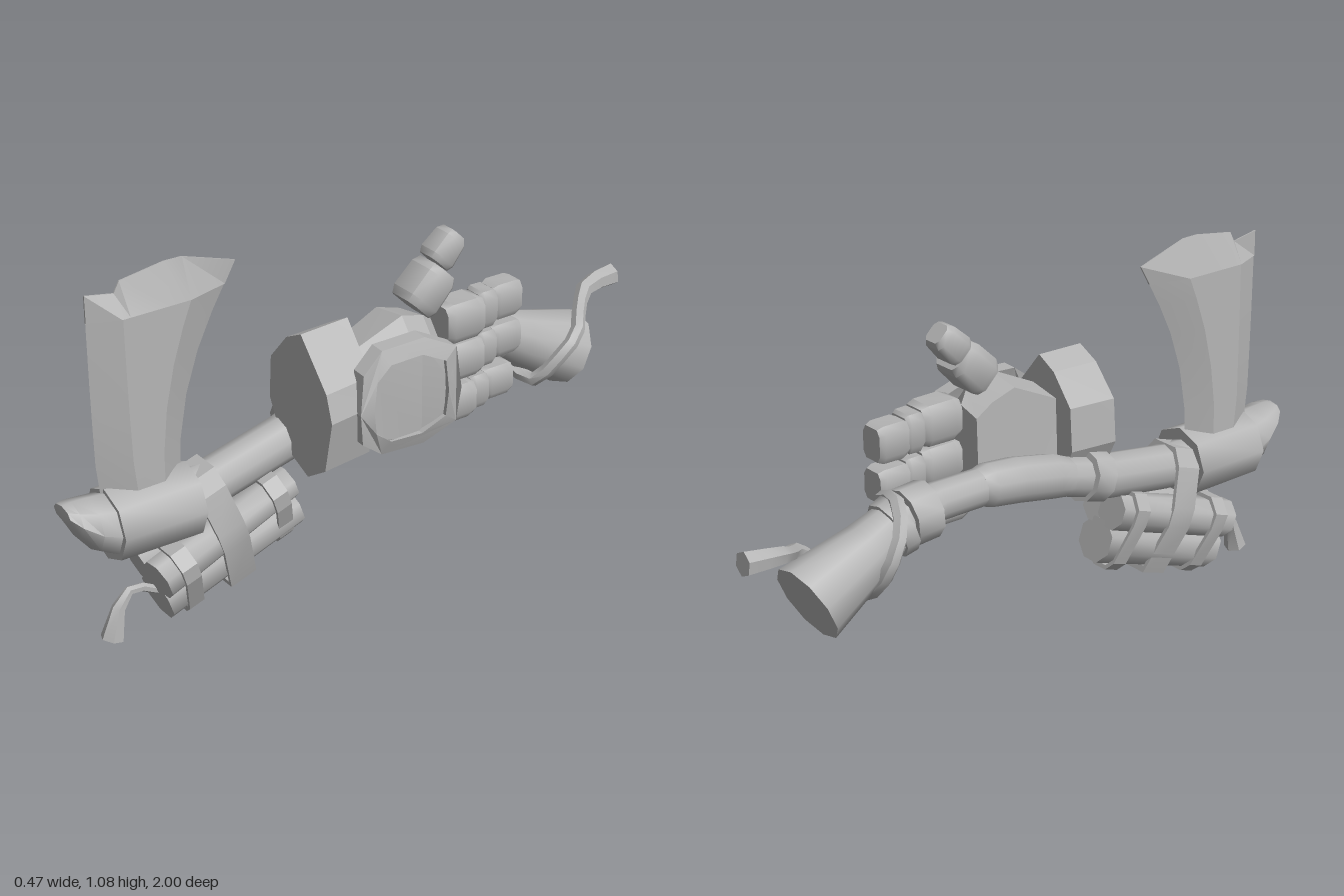
import * as THREE from 'three';
import { toCreasedNormals } from 'three/addons/utils/BufferGeometryUtils.js';

const V = (x, y, z) => new THREE.Vector3(x, y, z);

// Skin a list of equal-length rings; caps are fans, and winding is made outward
function loft(rings) {
  const n = rings[0].length, tris = [];
  for (let i = 0; i < rings.length - 1; i++)
    for (let j = 0; j < n; j++) {
      const k = (j + 1) % n, a = rings[i], b = rings[i + 1];
      tris.push([a[j], a[k], b[k]], [a[j], b[k], b[j]]);
    }
  const first = rings[0], last = rings[rings.length - 1];
  for (let j = 1; j < n - 1; j++) {
    tris.push([first[0], first[j + 1], first[j]], [last[0], last[j], last[j + 1]]);
  }
  let volume = 0;
  for (const [a, b, c] of tris) volume += a.dot(b.clone().cross(c));
  const pts = tris.flatMap(([a, b, c]) => (volume < 0 ? [a, c, b] : [a, b, c]));
  return new THREE.BufferGeometry().setFromPoints(pts);
}

// Tube with its own radius at each [x, y, z, r] point
function taperedTube(path, sides, phase = 0.5) {
  const p = path.map(a => V(a[0], a[1], a[2]));
  let u = V(1, 0, 0);
  return loft(p.map((c, i) => {
    const t = p[Math.min(i + 1, p.length - 1)].clone().sub(p[Math.max(i - 1, 0)]).normalize();
    u = u.clone().addScaledVector(t, -u.dot(t)).normalize();
    const w = t.clone().cross(u);
    return Array.from({ length: sides }, (_, j) => {
      const a = (j + phase) / sides * Math.PI * 2;
      return c.clone().addScaledVector(u, Math.cos(a) * path[i][3]).addScaledVector(w, Math.sin(a) * path[i][3]);
    });
  }));
}

// Chamfered block with pinched ends, long axis z
function chamferBlock(w, h, d, backEnd = 0.86, frontEnd = 0.86) {
  const ring = (z, s) => [[.5, .3], [.34, .5], [-.34, .5], [-.5, .3], [-.5, -.3], [-.34, -.5], [.34, -.5], [.5, -.3]]
    .map(([x, y]) => V(x * w * s, y * h * s, z * d));
  return loft([ring(-.5, backEnd), ring(-.32, (1 + backEnd) / 2 + .06), ring(.32, 1), ring(.5, frontEnd)]);
}

// Flat outline extruded along z and centred, with an optional scaled hole
function plate(points, depth, hole = 0, cx = 0, cy = 0) {
  const shape = new THREE.Shape(points.map(([x, y]) => new THREE.Vector2(x, y)));
  if (hole) {
    shape.holes.push(new THREE.Path(points.map(([x, y]) =>
      new THREE.Vector2(cx + (x - cx) * hole, cy + (y - cy) * hole)).reverse()));
  }
  return new THREE.ExtrudeGeometry(shape, { depth, bevelEnabled: false }).translate(0, 0, -depth / 2);
}

// Curve a plate so its upper and lower edges fall back
function bow(geo, amount) {
  const p = geo.attributes.position;
  for (let i = 0; i < p.count; i++) p.setZ(i, p.getZ(i) - amount * p.getY(i) ** 2);
  return geo;
}

export function createModel() {
  const model = new THREE.Group();
  const grey = new THREE.MeshStandardMaterial({ color: 0xb4b4b4 });
  grey.name = 'plain grey';
  const add = (name, geo, parent = model, crease = 0.9) => {
    const m = new THREE.Mesh(toCreasedNormals(geo, crease), grey);
    m.name = name;
    parent.add(m);
    return m;
  };

  // Curved handle with a flared butt, and a thicker grip section in the hand
  add('handle', taperedTube([
    [-.03, .37, .7, .07], [-.04, .385, .52, .068], [-.06, .43, .28, .068], [-.08, .48, .12, .06],
    [-.09, .525, -.06, .058], [-.09, .542, -.2, .055], [-.095, .545, -.36, .056], [-.105, .525, -.5, .07],
    [-.11, .475, -.6, .085], [-.115, .385, -.8, .118]], 10));
  add('grip', taperedTube([[-.08, .48, .12, .058], [-.088, .503, .05, .066], [-.092, .53, -.08, .067],
    [-.092, .542, -.18, .064], [-.091, .543, -.21, .054]], 10));
  add('handleCollar', taperedTube([[-.105, .54, -.395, .084], [-.105, .533, -.48, .084]], 10));
  add('buttCollar', taperedTube([[-.107, .526, -.49, .088], [-.107, .512, -.53, .084]], 10));
  add('handleRing', taperedTube([[-.07, .445, .25, .08], [-.075, .465, .18, .078]], 10));

  // Cord wound around the butt, with a loose flared tail
  const cord = new THREE.CatmullRomCurve3([
    V(-.03, .57, -.49), V(-.12, .6, -.51), V(-.195, .55, -.55), V(-.21, .46, -.6), V(-.14, .37, -.61),
    V(-.05, .345, -.63), V(0, .42, -.68), V(0, .48, -.75), V(-.07, .52, -.82), V(-.125, .555, -.89), V(-.13, .568, -1)]);
  add('cord', taperedTube(cord.getPoints(18).map((p, i) =>
    [p.x, p.y, p.z, i < 15 ? .022 : .022 + (i - 15) * .0045]), 6));

  // Blade socket and rounded nose
  add('socket', taperedTube([[-.025, .372, .615, .11], [-.025, .372, .87, .107]], 8, 0));
  const noseRing = (z, cy, rx, ry) => Array.from({ length: 8 }, (_, j) => {
    const a = j / 8 * Math.PI * 2;
    return V(-.025 + rx * Math.cos(a), cy + ry * Math.sin(a), z);
  });
  add('nose', loft([noseRing(.86, .372, .094, .094), noseRing(.92, .392, .084, .08),
    noseRing(.97, .425, .066, .05), noseRing(.998, .45, .045, .022)]));

  // Blade: six-sided sections [y, rear z, front z, half thickness]
  add('blade', loft([[.4, .63, .87, .047], [.55, .622, .885, .046], [.68, .598, .887, .043], [.8, .557, .888, .041],
    [.9, .508, .888, .039], [.97, .467, .888, .038]].map(([y, back, front, t]) => {
    const b = back + (front - back) * .3, f = front - .09;
    return [V(-.035, y, back), V(-.035 + t, y, b), V(-.035 + t, y, f),
      V(-.035, y, front), V(-.035 - t, y, f), V(-.035 - t, y, b)];
  })), model, 0.3);
  // Sharpened, notched end of the blade: [low z, high z, high y, half thickness]
  add('bladeTopEdge', loft([[.467, .432, 1.03, .003], [.593, .595, 1.082, .038], [.65, .65, 1.083, .038],
    [.775, .785, 1.063, .038], [.8, .802, 1.032, .038], [.888, .888, 1.048, .003]].map(([low, high, y, t]) =>
    [V(-.035 - t, .97, low), V(-.035 + t, .97, low), V(-.033, y, high), V(-.037, y, high)])), model, 0.3);

  // Wrist cuff
  const cuff = [[-.01, .77], [.06, .805], [.18, .67], [.205, .59], [.17, .43], [.085, .375], [-.04, .43], [-.1, .55], [-.09, .68]];
  add('cuff', loft([cuff.map(([x, y]) => V(x, y, .29)),
    cuff.map(([x, y]) => V(x * .92, y + .005, .132))]), model, 0.3);

  // Palm: [z, bottom, top, outer x]
  add('palm', loft([[.15, .46, .71, .16], [-.02, .43, .79, .18], [-.1, .42, .765, .17], [-.155, .44, .73, .13]]
    .map(([z, lo, hi, x]) => [[-.03, lo + .02], [x - .07, lo], [x, lo + .09], [x, hi - .1], [x - .08, hi], [-.02, hi - .02]]
      .map(([px, py]) => V(px, py, z)))), model, 0.3);

  // Back-of-hand guard: a bowed, sunken plate in a raised frame
  const guard = new THREE.Group();
  guard.name = 'handGuard';
  guard.position.set(.2, .592, .03);
  guard.rotation.y = Math.PI / 2 - .06;
  model.add(guard);
  const outline = [[-.17, 0], [-.15, .11], [-.08, .16], [.06, .165], [.155, .12], [.16, 0], [.155, -.11], [.06, -.165], [-.08, -.16], [-.155, -.1]];
  add('guardPlate', bow(plate(outline.map(([x, y]) => [x * .9, y * .9]), .035), 1.4), guard, 0.3);
  add('guardFrame', bow(plate(outline, .05, .74), 1.4), guard, 0.3);

  // Three fingers of three joints: [y, z shift, height]
  [[.708, 0, .122], [.584, 0, .115], [.453, .025, .112]].forEach(([y, dz, h], f) => {
    [[.06, -.245, .132, .108], [.042, -.346, .06, .092], [.026, -.43, .1, .088]].forEach(([x, z, len, w], j) => {
      const joint = add(`finger${f + 1}Joint${j + 1}`, chamferBlock(w, h - j * .006, len));
      joint.position.set(x, y, z + dz);
    });
  });

  // Thumb
  [['thumbBase', .065, .838, -.122, .125, .118, .13, .8], ['thumbTip', .045, .93, -.205, .09, .09, .1, .66]]
    .forEach(([name, x, y, z, w, h, d, end]) => {
      const joint = add(name, chamferBlock(w, h, d, end));
      joint.position.set(x, y, z);
      joint.rotation.x = Math.PI / 4;
    });

  // Bundle of three sticks slung below the handle, spreading toward the front
  const bundle = new THREE.Group();
  bundle.name = 'stickBundle';
  bundle.position.set(-.033, .195, .505);
  bundle.rotation.x = .32;
  model.add(bundle);
  // [rear x, front x, y, rear radius, front radius]
  [[-.046, -.053, .054, .058, .062], [.016, .053, .054, .058, .062], [-.012, -.008, -.046, .07, .075]]
    .forEach(([x0, x1, y, r0, r1], i) => {
      add(`stick${i + 1}`, taperedTube([[x0, y, -.235, r0], [x1, y, .235, r1]], 8), bundle);
    });
  const wrap = [[-.08, .122], [.08, .122], [.12, .08], [.115, .03], [.055, -.1], [.022, -.128], [-.038, -.128], [-.07, -.1], [-.115, .03], [-.12, .08]];
  for (const [name, x, z, s] of [['frontBand', 0, .16, 1], ['rearBand', -.015, -.175, .88]]) {
    const band = add(name, plate(wrap, .05, .9), bundle, 0.3);
    band.position.set(x, 0, z);
    band.scale.x = s;
  }

  // Strap holding the bundle to the handle
  const strap = [[-.05, .26], [.04, .26], [.072, .21], [.1, .09], [.098, .03], [.045, -.132], [-.055, -.132], [-.108, .03], [-.11, .09], [-.085, .21]];
  add('strap', plate(strap, .088, .9, 0, .06), bundle, 0.3);

  // Fuse with a frayed end
  add('fuse', taperedTube([[-.035, .1, .71, .012], [-.035, .13, .765, .013], [-.03, .137, .81, .014],
    [-.022, .1, .85, .02], [-.02, .012, .876, .034]], 6));

  return model;
}
